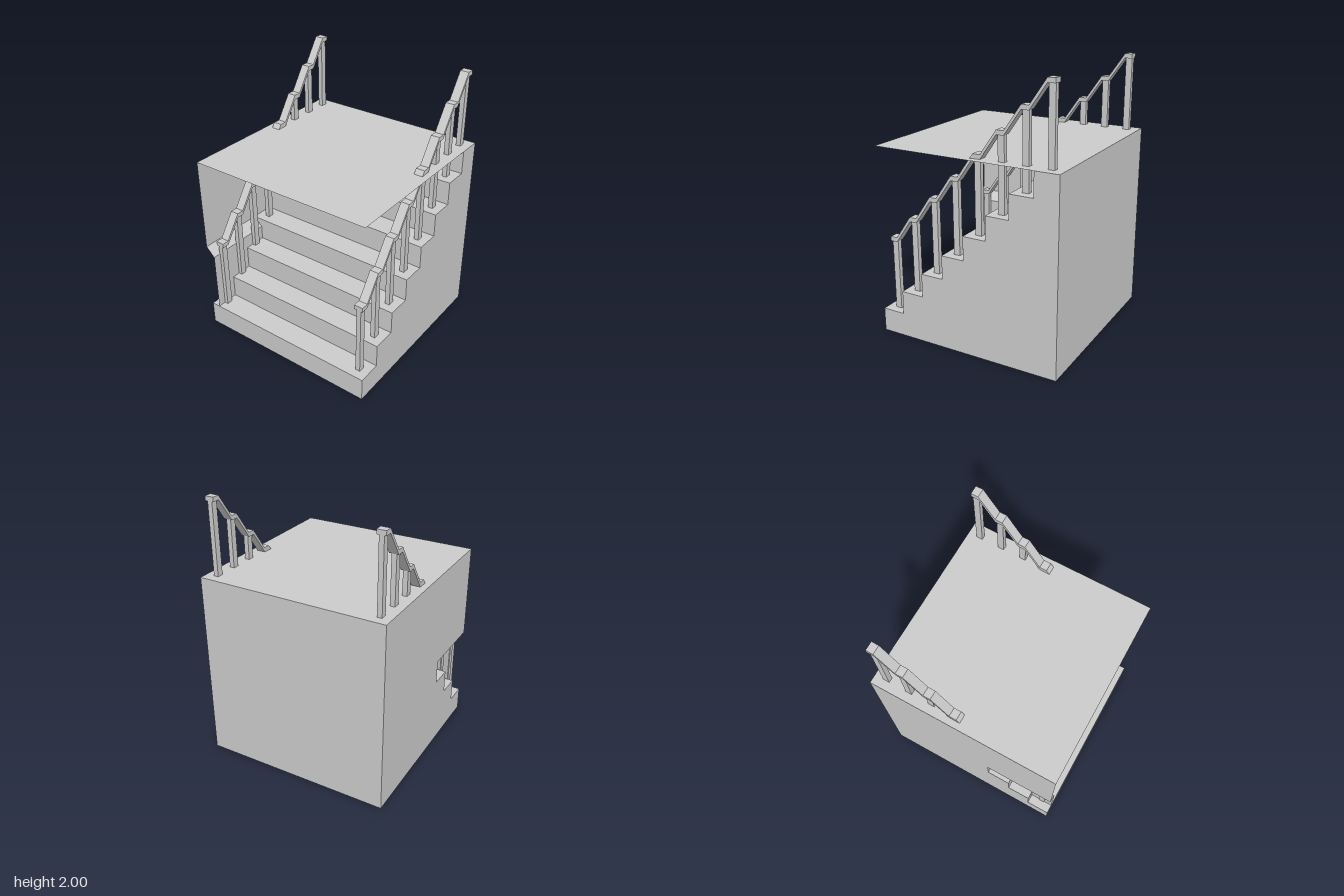
import * as THREE from 'three';

const H = 0.715;          // half width of the block
const STEPS = 8;
const S = (2 * H) / STEPS; // rise and run of a step
const INSET = 0.07;       // how far the low side panel is set in

const mat = new THREE.MeshStandardMaterial({ color: 0xcccccc, flatShading: true });
const sheetMat = new THREE.MeshStandardMaterial({ color: 0xcccccc, flatShading: true, side: THREE.DoubleSide });

// Outline corners of steps from..to, as [z, y]
function stepLine(from, to) {
  const pts = [];
  for (let i = from; i < to; i++) pts.push([H - i * S, (i + 1) * S], [H - (i + 1) * S, (i + 1) * S]);
  return pts;
}

const shapeOf = pts => new THREE.Shape(pts.map(p => new THREE.Vector2(p[0], p[1])));

function add(group, name, geometry, material = mat) {
  const mesh = new THREE.Mesh(geometry, material);
  mesh.name = name;
  group.add(mesh);
  return mesh;
}

// Extrudes a [z, y] outline across x, centred on the given x
function slab(pts, width, x) {
  const g = new THREE.ExtrudeGeometry(shapeOf(pts), { depth: width, bevelEnabled: false });
  return g.rotateY(-Math.PI / 2).translate(x + width / 2, 0, 0);
}

// Thin upright sheet from a [z, y] outline
const sheet = (pts, x) => new THREE.ShapeGeometry(shapeOf(pts)).rotateY(-Math.PI / 2).translate(x, 0, 0);

function createRailing(side) {
  const railing = new THREE.Group();
  railing.name = side > 0 ? 'leftRailing' : 'rightRailing';
  const x = side * 0.633, cap = 0.055, thick = 0.033;
  const top = [];
  for (let i = 0; i < STEPS; i++) {
    const z = 0.6275 - i * S, capTop = 0.75 + i * S;
    const base = (i + 1) * S, height = capTop - thick / 2 - base;
    add(railing, 'post', new THREE.BoxGeometry(0.036, height, 0.048).translate(x, base + height / 2, z));
    top.push([z + cap / 2, capTop], [z - cap / 2, capTop]);
  }
  // handrail: level over each post, sloping between them
  const bottom = top.map(([z, y]) => [z, y - thick]).reverse();
  add(railing, 'handrail', slab([...top, ...bottom], 0.067, x));
  return railing;
}

export function createModel() {
  const model = new THREE.Group();
  model.name = 'staircase';

  // solid flight of steps
  add(model, 'steps', slab([[-H, 0], [H, 0], ...stepLine(0, STEPS)], 2 * H, 0));

  // thin cover over the flight, level with the top step
  const depth = 2 * H - S;
  add(model, 'cover', new THREE.PlaneGeometry(2 * H, depth).rotateX(-Math.PI / 2).translate(0, 2 * H, S / 2), sheetMat);

  // side wall above the steps, open at its low front corner
  add(model, 'sideWall', sheet([[H, 2 * H], [H, 4 * S], ...stepLine(3, STEPS - 1).slice(1), [H - 7 * S, 2 * H]], -H), sheetMat);

  // low panel set in from the wall, with a slope joining the two
  add(model, 'insetPanel', sheet([[H, 4 * S - INSET], ...stepLine(0, 3), [H - 3 * S, 4 * S - INSET]], -H + INSET), sheetMat);
  const slope = new THREE.PlaneGeometry(INSET * Math.SQRT2, 3 * S).rotateX(-Math.PI / 2).rotateZ(-Math.PI / 4);
  add(model, 'panelSlope', slope.translate(-H + INSET / 2, 4 * S - INSET / 2, H - 1.5 * S), sheetMat);

  for (const side of [-1, 1]) model.add(createRailing(side));
  return model;
}
